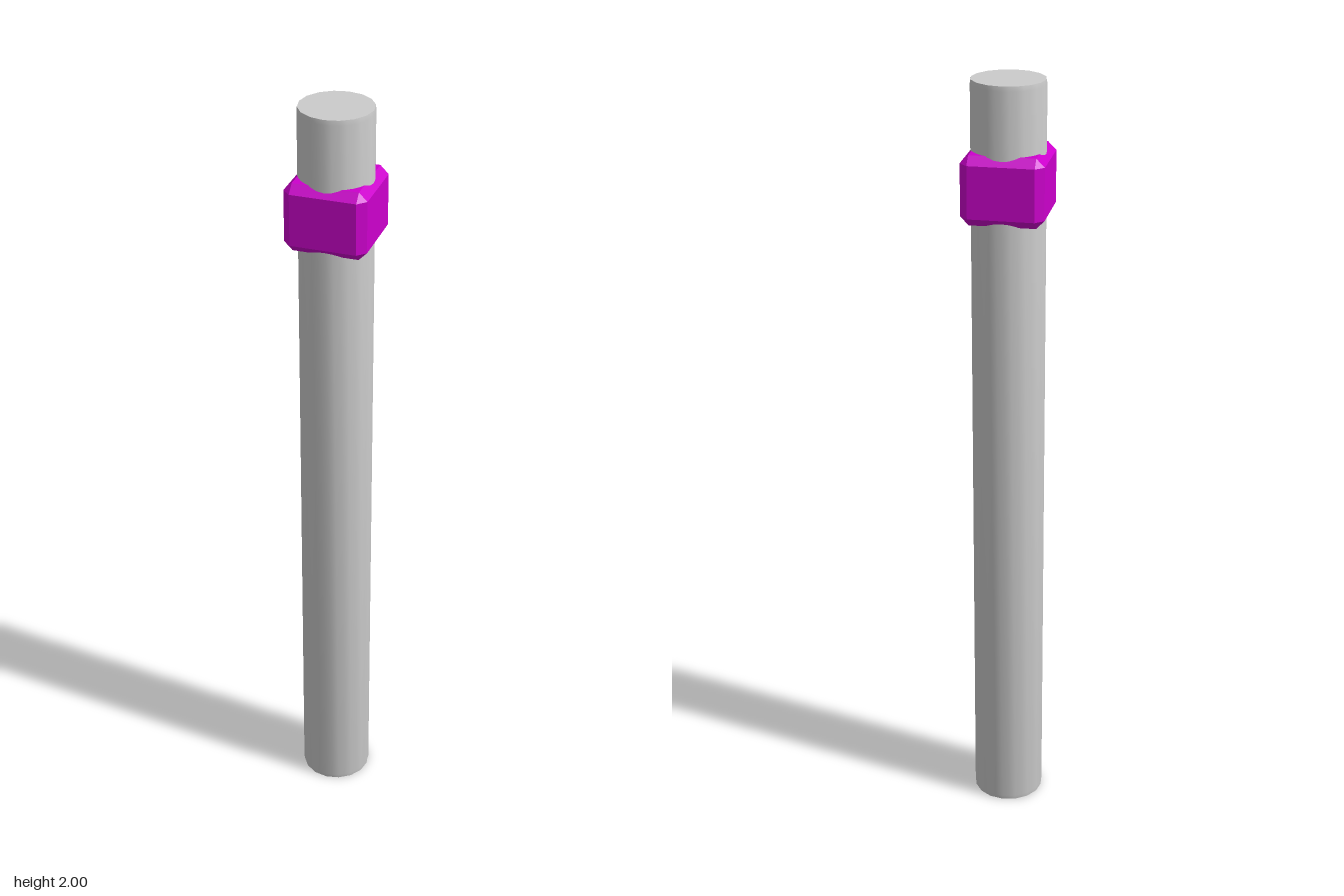
import * as THREE from 'three';
import { toCreasedNormals } from 'three/addons/utils/BufferGeometryUtils.js';
import { ConvexGeometry } from 'three/addons/geometries/ConvexGeometry.js';

const SIDES = 32;

// Round post: slightly chamfered ends whose caps have half as many sides
function postGeometry() {
  const capRadius = 0.092;
  const profile = [[0, 0], [capRadius, 0], [0.093, 0.012], [0.093, 1.988], [capRadius, 2], [0, 2]]
    .map(([r, y]) => new THREE.Vector2(r, y));
  const geometry = new THREE.LatheGeometry(profile, SIDES);
  const pos = geometry.attributes.position;
  for (let i = 0; i < pos.count; i++) {
    const column = Math.floor(i / profile.length);
    const row = i % profile.length;
    // pull every second rim point in to the chord between its neighbours
    if (column % 2 === 1 && (row === 1 || row === 4)) {
      const k = Math.cos((2 * Math.PI) / SIDES);
      pos.setXYZ(i, pos.getX(i) * k, pos.getY(i), pos.getZ(i) * k);
    }
  }
  return toCreasedNormals(geometry, 0.6);
}

// Box with every edge chamfered by the same amount
function chamferedBox(width, height, depth, chamfer) {
  const points = [];
  const half = [width / 2, height / 2, depth / 2];
  for (const sx of [-1, 1]) for (const sy of [-1, 1]) for (const sz of [-1, 1]) {
    for (let axis = 0; axis < 3; axis++) {
      const c = half.map((h, i) => (i === axis ? h : h - chamfer));
      points.push(new THREE.Vector3(sx * c[0], sy * c[1], sz * c[2]));
    }
  }
  return new ConvexGeometry(points);
}

export function createModel() {
  const model = new THREE.Group();
  model.name = 'postWithCollar';

  const post = new THREE.Mesh(postGeometry(), new THREE.MeshStandardMaterial({ color: 0xcccccc }));
  post.name = 'post';
  model.add(post);

  // Square collar near the top of the post
  const collar = new THREE.Mesh(
    chamferedBox(0.208, 0.174, 0.208, 0.021),
    new THREE.MeshStandardMaterial({ color: 0xcc00cc, flatShading: true })
  );
  collar.name = 'collar';
  collar.position.y = 1.742;
  model.add(collar);

  return model;
}
